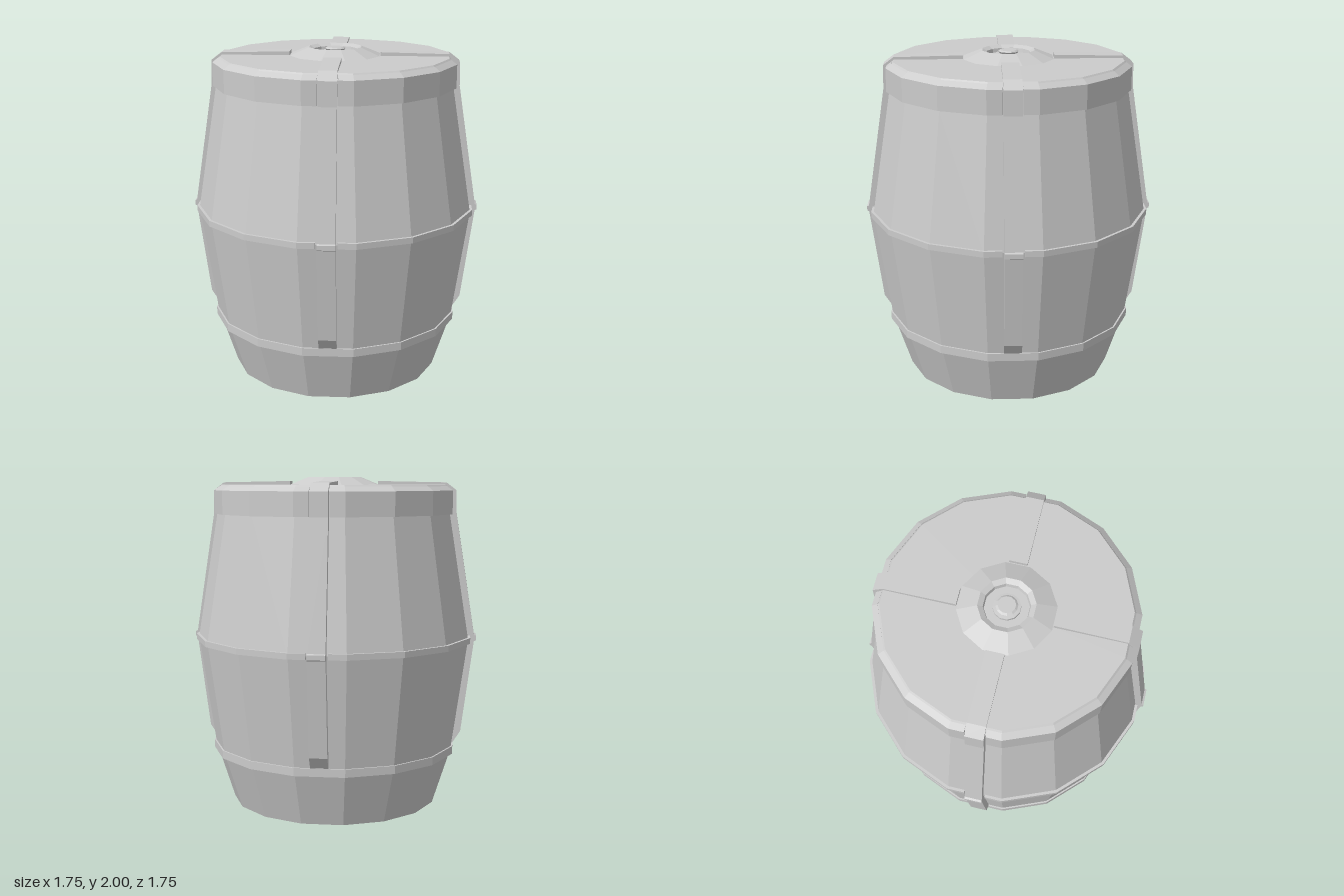
import * as THREE from 'three';

const SIDES = 16;
const STEP = (Math.PI * 2) / SIDES;
const material = new THREE.MeshStandardMaterial({ color: 0xcccccc, flatShading: true, side: THREE.DoubleSide });

function addMesh(parent, name, geometry) {
  const mesh = new THREE.Mesh(geometry, material);
  mesh.name = name;
  parent.add(mesh);
  return mesh;
}

function lathe(profile, sides = SIDES) {
  const points = profile.map(([r, y]) => new THREE.Vector2(r, y));
  return new THREE.LatheGeometry(points, sides, Math.PI / sides);
}

// Quarter of a faceted hoop, leaving a small slot for the straps at both ends.
function quarterHoop(section, slot) {
  const flat = Math.cos(STEP / 2);
  const path = [[slot, flat]];
  for (let i = 0; i < 4; i++) path.push([Math.sin(STEP * (i + 0.5)), Math.cos(STEP * (i + 0.5))]);
  path.push([flat, slot]);

  const n = section.length;
  const positions = [];
  const index = [];
  for (const [px, pz] of path) for (const [r, y] of section) positions.push(px * r, y, pz * r);
  for (let i = 0; i < path.length - 1; i++) {
    for (let j = 0; j < n; j++) {
      const a = i * n + j, b = i * n + ((j + 1) % n);
      index.push(a, a + n, b, b, a + n, b + n);
    }
  }
  const last = (path.length - 1) * n;
  for (let j = 1; j < n - 1; j++) {
    index.push(0, j, j + 1);
    index.push(last, last + j + 1, last + j);
  }
  const geometry = new THREE.BufferGeometry();
  geometry.setAttribute('position', new THREE.Float32BufferAttribute(positions, 3));
  geometry.setIndex(index);
  geometry.computeVertexNormals();
  return geometry;
}

// Strap outline in the radius/height plane, extruded to the strap's width.
function strapGeometry() {
  const outline = [
    [0.27, 1.945], [0.27, 1.975], [0.68, 1.967], [0.742, 1.92], [0.745, 1.78],
    [0.863, 1.045], [0.875, 1.04], [0.875, 1.012], [0.863, 1.005],
    [0.79, 0.44], [0.745, 0.37], [0.71, 0.37],
    [0.8, 1.03], [0.69, 1.78], [0.69, 1.9], [0.65, 1.945],
  ];
  const shape = new THREE.Shape(outline.map(([r, y]) => new THREE.Vector2(r, y)));
  const geometry = new THREE.ExtrudeGeometry(shape, { depth: 0.104, bevelEnabled: false });
  return geometry.translate(0, 0, -0.052);
}

export function createModel() {
  const model = new THREE.Group();
  model.name = 'barrel';

  // Bulging body with a closed bottom
  addMesh(model, 'body', lathe([[0, 0], [0.635, 0], [0.745, 0.345], [0.842, 1.028], [0.718, 1.78], [0.71, 1.9]]));

  // Lid with a bevelled edge
  addMesh(model, 'lid', lathe([[0.722, 1.9], [0.722, 1.92], [0.69, 1.953], [0, 1.953]]));

  // Continuous lower hoop
  addMesh(model, 'lowerHoop', lathe([[0.735, 0.32], [0.758, 0.32], [0.758, 0.368], [0.735, 0.368]]));

  // Hoops broken by the straps
  const waist = quarterHoop([[0.81, 1.008], [0.856, 1.008], [0.856, 1.043], [0.81, 1.043]], 0.074);
  const rim = quarterHoop([[0.7, 1.78], [0.735, 1.78], [0.735, 1.92], [0.7, 1.945]], 0.08);
  const strap = strapGeometry();
  for (let k = 0; k < 4; k++) {
    const quarter = new THREE.Group();
    quarter.name = `quarter${k + 1}`;
    quarter.rotation.y = (k * Math.PI) / 2;
    addMesh(quarter, 'waistHoop', waist);
    addMesh(quarter, 'rimHoop', rim);
    addMesh(quarter, 'strap', strap);
    model.add(quarter);
  }

  // Raised collar with a sunken dish
  addMesh(model, 'collar', lathe([[0.275, 1.953], [0.16, 2], [0.13, 1.985], [0.125, 1.962], [0, 1.962]], 12));

  // Button in the dish
  addMesh(model, 'button', lathe([[0.078, 1.96], [0.078, 1.978], [0.055, 1.98], [0.062, 1.99], [0.05, 1.998], [0, 1.998]], 12));

  // The whole barrel is turned very slightly
  model.rotation.y = -0.026;
  return model;
}
